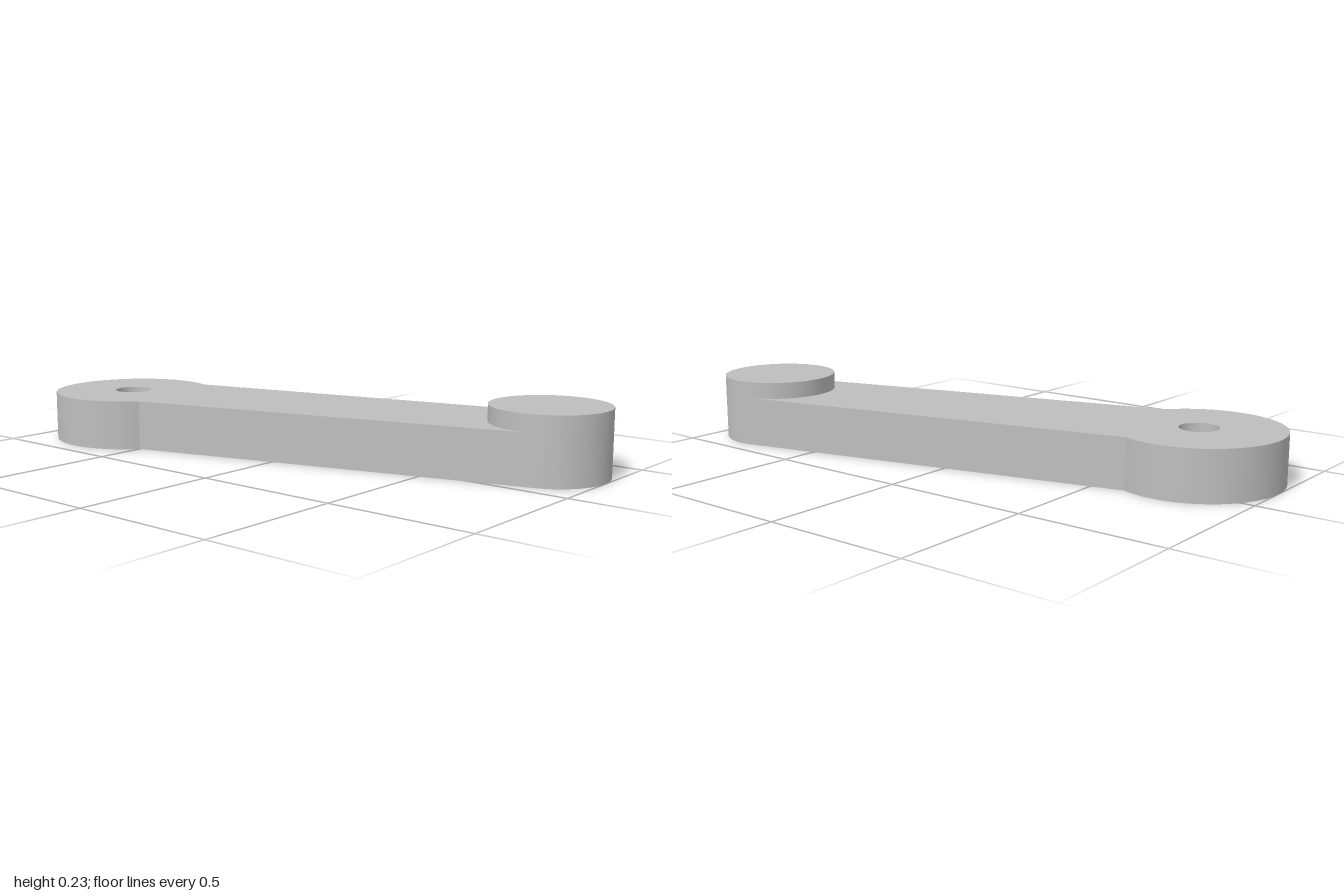
import * as THREE from 'three';
import { toCreasedNormals } from 'three/addons/utils/BufferGeometryUtils.js';

export function createModel() {
  const group = new THREE.Group();
  const grey = new THREE.MeshStandardMaterial({ color: 0xbebebe });
  grey.name = 'grey';

  const hub = { x: -0.72, z: 0.155, r: 0.281 };
  const pin = { x: 0.803, z: -0.24, r: 0.197 };
  const armHeight = 0.17, pinHeight = 0.227;
  const dx = pin.x - hub.x, dz = pin.z - hub.z;
  const length = Math.hypot(dx, dz);

  // Lever plate: round hub, slightly tapered arm tangent to the pin end, drilled hole
  const neck = 0.915; // angle on the hub where the arm begins
  const tangent = Math.PI / 2 - 0.018;
  const outline = new THREE.Shape();
  outline.absarc(0, 0, hub.r, neck, Math.PI * 2 - neck, false);
  outline.absarc(length, 0, pin.r, -tangent, tangent, false);
  outline.closePath();
  const hole = new THREE.Path();
  hole.absarc(0, 0, 0.065, 0, Math.PI * 2, true);
  outline.holes.push(hole);

  const plateGeometry = new THREE.ExtrudeGeometry(outline, {
    depth: armHeight, bevelEnabled: false, curveSegments: 64,
  });
  plateGeometry.rotateX(-Math.PI / 2);
  const plate = new THREE.Mesh(toCreasedNormals(plateGeometry, 0.4), grey);
  plate.name = 'leverArm';
  plate.position.set(hub.x, 0, hub.z);
  plate.rotation.y = Math.atan2(-dz, dx);
  group.add(plate);

  // Raised round boss on the far end
  const rise = pinHeight - armHeight;
  const boss = new THREE.Mesh(new THREE.CylinderGeometry(pin.r, pin.r, rise, 96), grey);
  boss.name = 'raisedBoss';
  boss.position.set(pin.x, armHeight + rise / 2, pin.z);
  group.add(boss);

  return group;
}
